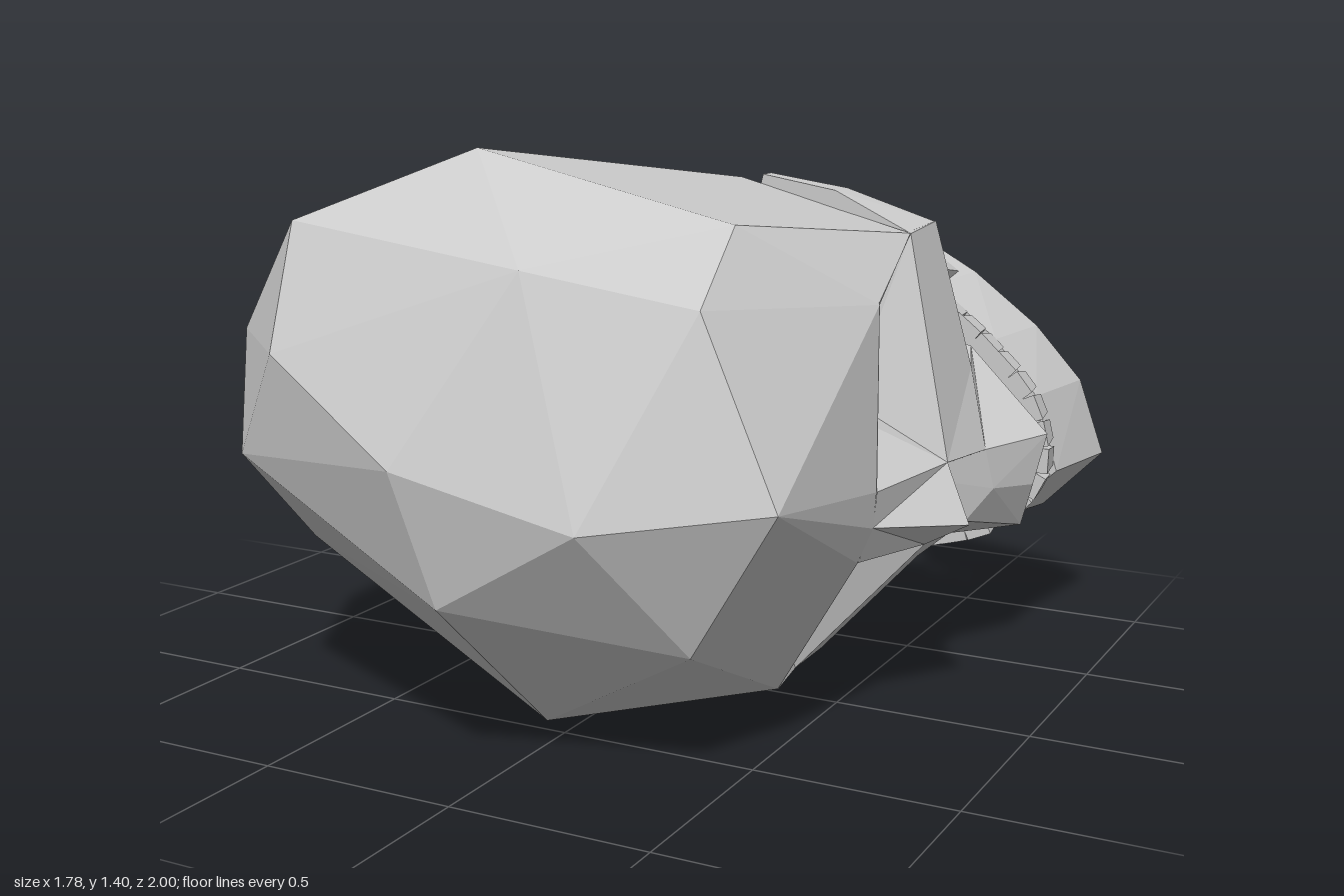
import * as THREE from 'three';
import { ConvexGeometry } from 'three/addons/geometries/ConvexGeometry.js';

const material = new THREE.MeshStandardMaterial({ color: 0xcccccc, flatShading: true, side: THREE.DoubleSide });

function mesh(name, geometry, parent) {
  const m = new THREE.Mesh(geometry, material);
  m.name = name;
  parent.add(m);
  return m;
}

// Flat-shaded surface from named corners; each face is a string of corner names, fanned into triangles
function panel(points, faces) {
  const pos = [];
  for (const face of faces) {
    const c = face.split(' ').map((k) => points[k]);
    for (let i = 1; i < c.length - 1; i++) pos.push(...c[0], ...c[i], ...c[i + 1]);
  }
  const g = new THREE.BufferGeometry();
  g.setAttribute('position', new THREE.Float32BufferAttribute(pos, 3));
  g.computeVertexNormals();
  return g;
}

// Solid made by joining equal-sized loops of corners
function loft(sections) {
  const points = {}, faces = [], n = sections[0].length, last = sections.length - 1;
  sections.forEach((s, i) => s.forEach((p, j) => { points[`${i}_${j}`] = p; }));
  for (let i = 0; i < last; i++)
    for (let j = 0; j < n; j++) {
      const k = (j + 1) % n;
      faces.push(`${i}_${j} ${i + 1}_${j} ${i + 1}_${k}`, `${i}_${j} ${i + 1}_${k} ${i}_${k}`);
    }
  for (const i of [0, last]) faces.push(sections[i].map((_, j) => `${i}_${j}`).join(' '));
  return panel(points, faces);
}

export function createModel() {
  const model = new THREE.Group();
  model.name = 'skull';

  // Braincase
  const cranium = [
    [-.2, 1.41, .53], [.1, 1.18, .84], [-.14, .75, 1], [.3, .65, .96], [-.07, .43, .93],
    [.46, 1.1, .7], [.44, 1.26, .49], [.65, .68, .71], [.44, .33, .7], [-.56, .95, .86],
    [-.6, 1.24, .71], [-.73, .68, .77], [-.73, .41, .5], [-.54, .27, .2], [0, .07, .58],
    [.05, .07, .2], [-.9, .86, .28], [-.67, 1.26, .4], [-.85, .95, .59], [-.81, .9, .03],
    [-.72, .88, -.19], [-.73, .6, -.06], [-.4, 1.34, -.1], [-.53, .3, -.06], [.03, 1.2, -.44],
    [-.2, .28, -.42], [-.25, .75, -.42], [.25, .7, -.38], [.12, 1.3, -.22], [.4, 1.23, -.2], [.13, .06, -.2],
  ].map((p) => new THREE.Vector3(...p));
  mesh('cranium', new ConvexGeometry(cranium), model);

  // Forehead down to the brow line, and the temples on both sides
  mesh('forehead', panel({
    a: [.44, 1.26, .49], b: [.46, 1.1, .7], c: [.65, .68, .71], d: [.44, .33, .7], e: [0, .07, .58],
    p: [.664, 1.06, .19], q: [.69, .635, .25], g: [.68, .545, .24], r: [.647, .46, .25], s: [.422, .095, .19],
    u: [.6, 1.185, -.17], v: [.4, 1.23, -.2], w: [.31, .02, -.17], x: [.13, .06, -.2],
  }, ['a b p', 'b c p', 'c q p', 'c g q', 'c r g', 'c d r', 'd s r', 'd e s',
    'a p u', 'a u v', 'e s w', 'e w x']), model);

  // Face frame: x forward, y sideways, z towards the crown; each side is a mirror of the other
  const face = new THREE.Group();
  face.name = 'face';
  face.rotation.z = -.244;
  face.position.y = .715;
  model.add(face);

  const P = {
    g: [.7, 0, .24], r0: [.69, .09, .25], r1: [.56, .5, .19], r2: [.47, .6, -.17], r3: [.74, .11, -.08],
    q0: [.48, .2, .1], q1: [.43, .45, .08], q2: [.36, .32, -.04], q3: [.46, .18, -.06],
    nb: [.85, 0, -.02], na: [.76, .1, -.32], nl: [.8, 0, -.35], ni: [.62, 0, -.2],
    c1: [.46, .61, -.37], c2: [.64, .27, -.41], b: [.28, .34, -.33], t: [.28, .59, -.2],
    m0: [.85, .13, -.54], mm: [.86, 0, -.5], m1: [.58, .28, -.57], m2: [.36, .28, -.57], mc: [.32, 0, -.48],
  };
  const parts = {
    eyeSocket: ['r0 r1 q1 q0', 'r1 r2 q2 q1', 'r2 r3 q3 q2', 'r3 r0 q0 q3', 'q0 q1 q2 q3'],
    nasalBone: ['g r0 r3 nb'],
    nasalCavity: ['nb r3 ni', 'r3 na ni', 'na nl ni'],
    cheekbone: ['r2 c1 c2', 'r2 c2 r3', 'r3 c2 na', 'c1 c2 b', 'c1 b t', 'r2 c1 t'],
    upperJaw: ['na c2 m1 m0', 'nl na m0 mm', 'c2 m1 m2 b', 'mm m0 m1 m2 mc', 'b m2 mc'],
  };

  // Cheek arch tapering back to the ear
  const arch = loft([
    [[.03, .57, -.22], [.03, .62, -.22], [.03, .62, -.27], [.03, .57, -.27]],
    [[.24, .59, -.2], [.24, .64, -.2], [.24, .64, -.28], [.24, .59, -.28]],
    [[.46, .55, -.18], [.46, .6, -.18], [.46, .61, -.36], [.46, .56, -.36]],
  ]);

  // Lower jaw body, tapering to a pointed chin: forward, sideways, bottom, top
  const jawBody = loft([
    [.2, .49, -.83, -.66], [.45, .41, -.87, -.68], [.65, .31, -.91, -.68], [.8, .19, -.96, -.68], [.91, 0, -1, -.68],
  ].map(([f, s, lo, hi]) => {
    const inset = Math.max(0, s - .06);
    return [[f, s, lo], [f - .04, s * .94, hi], [f - .1, inset, hi], [f - .09, inset, lo + .02]];
  }));

  // Rear branch of the lower jaw, with its hinge and front spur, turned inwards at the front
  const outline = [[.17, -.83], [.12, -.6], [.13, -.45], [.19, -.42], [.22, -.55], [.28, -.38], [.34, -.55],
    [.42, -.67], [.42, -.82], [.2, -.83]].map((p) => new THREE.Vector2(...p));
  const branch = new THREE.ExtrudeGeometry(new THREE.Shape(outline), { depth: .05, bevelEnabled: false });
  branch.rotateX(Math.PI / 2).translate(0, .5, 0);
  const bp = branch.attributes.position;
  for (let i = 0; i < bp.count; i++) bp.setY(i, bp.getY(i) + .16 * (bp.getZ(i) + .84) - .38 * (bp.getX(i) - .17));
  branch.computeVertexNormals();

  for (const side of [1, -1]) {
    const half = new THREE.Group();
    half.name = side > 0 ? 'upperSide' : 'lowerSide';
    half.scale.y = side;
    face.add(half);
    for (const [name, faces] of Object.entries(parts)) mesh(name, panel(P, faces), half);
    mesh('cheekArch', arch, half);
    mesh('jawBody', jawBody, half);
    mesh('jawBranch', branch, half);
    // Bony point behind the ear
    const point = mesh('mastoid', new THREE.ConeGeometry(.12, .16, 4), half);
    point.rotation.x = -Math.PI / 2;
    point.position.set(-.14, .41, -.48);
  }

  // Lower teeth, tapered blocks along the jaw
  const row = new THREE.CatmullRomCurve3([[.45, .34], [.6, .27], [.76, .16], [.83, 0], [.76, -.16], [.6, -.27], [.45, -.34]]
    .map(([f, s]) => new THREE.Vector3(f, s, -.64)));
  const toothShape = new THREE.CylinderGeometry(.048, .036, .08, 4, 1).rotateY(Math.PI / 4).rotateX(Math.PI / 2);
  const count = 16;
  for (let i = 0; i < count; i++) {
    if (i === 10) continue;
    const tooth = mesh('tooth', toothShape, face);
    tooth.position.copy(row.getPointAt((i + .5) / count));
    const d = row.getTangentAt((i + .5) / count);
    tooth.rotation.z = Math.atan2(d.y, d.x);
  }
  return model;
}
